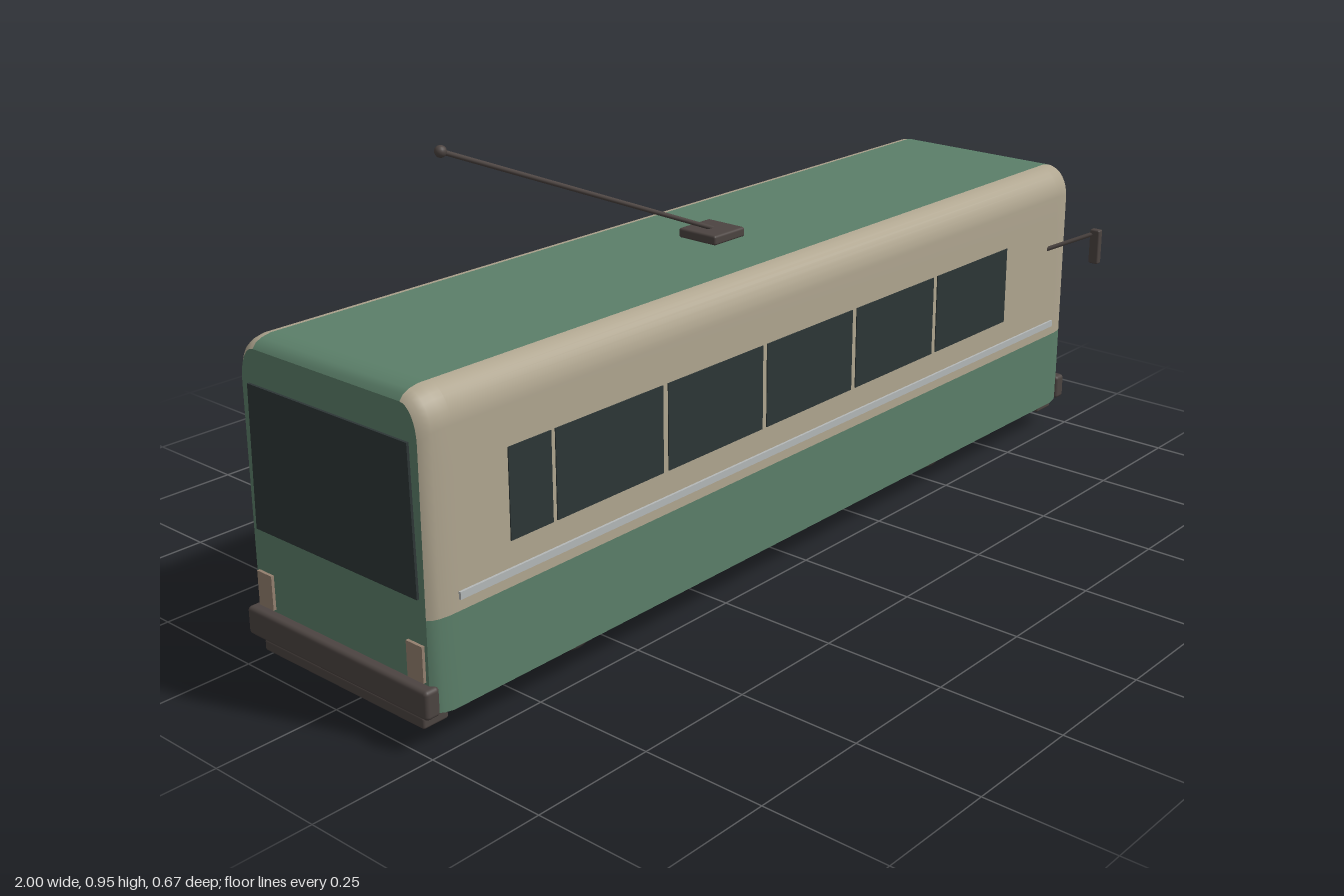
import * as THREE from 'three';
import { RoundedBoxGeometry } from 'three/addons/geometries/RoundedBoxGeometry.js';

const mat = (name, color) => Object.assign(new THREE.MeshStandardMaterial({ color }), { name });

export function createModel() {
  const green = mat('green paint', 0x5b7f69);
  const cream = mat('cream paint', 0xb0a690);
  const glass = mat('dark glass', 0x2d3636);
  const dark = mat('dark metal', 0x4c4441);
  const under = mat('underside', 0x35302e);
  const tyreMat = mat('tyre', 0x383433);
  const silver = mat('silver trim', 0xb4b8b8);
  const white = mat('plate white', 0xd0d0d0);
  const lamp = mat('tail lamp', 0x94806f);

  const model = new THREE.Group();
  model.name = 'trolleybus';
  const add = (name, geo, material, x = 0, y = 0, z = 0, parent = model) => {
    const m = new THREE.Mesh(geo, material);
    m.name = name;
    m.position.set(x, y, z);
    parent.add(m);
    return m;
  };
  const box = (name, material, x0, x1, y0, y1, z0, z1, r = 0) => add(name,
    r ? new RoundedBoxGeometry(x1 - x0, y1 - y0, z1 - z0, 3, r) : new THREE.BoxGeometry(x1 - x0, y1 - y0, z1 - z0),
    material, (x0 + x1) / 2, (y0 + y1) / 2, (z0 + z1) / 2);
  const rod = (name, a, b, r, material) => {
    const d = b.clone().sub(a);
    const m = add(name, new THREE.CylinderGeometry(r, r, d.length(), 10), material);
    m.position.copy(a).addScaledVector(d, 0.5);
    m.quaternion.setFromUnitVectors(new THREE.Vector3(0, 1, 0), d.normalize());
    return m;
  };

  // Body shell: strips of one cross-section [z, y], shrunk by d at the rounded ends
  const stations = [[-0.98, 0.02], [-0.972, 0.01], [-0.96, 0.004], [-0.94, 0], [-0.92, 0],
    [0.92, 0], [0.94, 0], [0.96, 0.004], [0.972, 0.01], [0.98, 0.02]];
  const section = (d) => {
    const w = 0.242 - d * 0.75, top = 0.635 - d, bottom = 0.065 + d * 0.5;
    const lower = [[w, bottom], [w, 0.24]];
    const upper = [[w, 0.24], [w, 0.5]];
    for (let i = 0; i <= 8; i++) {
      const a = (i / 8) * Math.PI / 2;
      upper.push([0.19 + (w - 0.19) * Math.cos(a), top - 0.065 * (1 - Math.sin(a))]);
    }
    const mirror = (pts) => pts.map(([z, y]) => [-z, y]).reverse();
    return {
      lowerLeft: lower, upperLeft: upper, roof: [[0.19, top], [-0.19, top]],
      upperRight: mirror(upper), lowerRight: mirror(lower), floor: [[-w, bottom], [w, bottom]],
    };
  };
  const strip = (key) => {
    const pos = [], idx = [], n = section(0)[key].length;
    for (const [x, d] of stations) for (const [z, y] of section(d)[key]) pos.push(x, y, z);
    for (let i = 0; i < stations.length - 1; i++) {
      for (let j = 0; j < n - 1; j++) {
        const a = i * n + j, c = a + n;
        idx.push(a, c, a + 1, a + 1, c, c + 1);
      }
    }
    const g = new THREE.BufferGeometry();
    g.setAttribute('position', new THREE.Float32BufferAttribute(pos, 3));
    g.setIndex(idx);
    g.computeVertexNormals();
    return g;
  };
  const paint = { lowerLeft: green, upperLeft: cream, roof: green, upperRight: cream, lowerRight: green, floor: under };
  for (const key in paint) add(key + 'Panel', strip(key), paint[key]);

  // Flat end faces
  const loop = Object.values(section(0.02)).flat();
  const endShape = new THREE.Shape(loop.map(([z, y]) => new THREE.Vector2(z, y)));
  const glassShape = new THREE.Shape([[-0.213, 0.275], [0.213, 0.275], [0.207, 0.55], [-0.207, 0.55]]
    .map((p) => new THREE.Vector2(...p)));
  for (const s of [1, -1]) {
    const end = s > 0 ? 'front' : 'rear';
    add(end + 'Face', new THREE.ShapeGeometry(endShape), green, s * 0.98).rotation.y = s * Math.PI / 2;
    add(end + 'Windscreen', new THREE.ExtrudeGeometry(glassShape, { depth: 0.006, bevelEnabled: false }),
      glass, s * 0.979).rotation.y = s * Math.PI / 2;
    const bumper = box(end + 'Bumper', dark, -0.016, 0.016, 0.065, 0.12, -0.241, 0.241, 0.008);
    bumper.position.x = s * 0.984;
    const step = box(end + 'LowerBumper', dark, -0.028, 0.028, 0.035, 0.058, -0.215, 0.215, 0.005);
    step.position.x = s * 0.958;
    for (const z of [-0.15, 0.15]) box(end + 'BumperBracket', dark, s * 0.958 - 0.012, s * 0.958 + 0.012, 0.05, 0.08, z - 0.03, z + 0.03);
  }
  box('numberPlate', white, 0.978, 0.986, 0.122, 0.162, -0.024, 0.024);
  for (const z of [-0.2, 0.2]) box('tailLamp', lamp, -0.986, -0.978, 0.125, 0.192, z - 0.02, z + 0.02);

  // Side windows, trim and mirrors
  const panes = [[-0.8, -0.7], [-0.69, -0.418], [-0.404, -0.135], [-0.122, 0.148], [0.162, 0.432], [0.446, 0.715]];
  for (const s of [1, -1]) {
    const side = s > 0 ? 'left' : 'right';
    for (const [a, b] of panes) box(side + 'Window', glass, a, b, 0.325, 0.495, s * 0.242 - 0.002, s * 0.242 + 0.002);
    box(side + 'TrimStrip', silver, -0.92, 0.92, 0.262, 0.276, s * 0.243 - 0.004, s * 0.243 + 0.004);
    rod(side + 'MirrorArm', new THREE.Vector3(0.89, 0.453, s * 0.238), new THREE.Vector3(0.963, 0.49, s * 0.318), 0.005, dark);
    box(side + 'Mirror', dark, 0.956, 0.973, 0.42, 0.5, s * 0.322 - 0.012, s * 0.322 + 0.012, 0.004);
  }

  // Wheels and axles
  const tyreProfile = [[0.04, -0.012], [0.056, -0.013], [0.063, -0.008], [0.065, 0], [0.063, 0.008], [0.056, 0.013], [0.04, 0.012]]
    .map((p) => new THREE.Vector2(...p));
  const tyre = new THREE.LatheGeometry(tyreProfile, 32);
  const rim = new THREE.CylinderGeometry(0.041, 0.041, 0.018, 24);
  const hub = new THREE.CylinderGeometry(0.014, 0.014, 0.028, 12);
  for (const x of [-0.57, 0.565]) {
    for (const z of [-0.157, 0.157]) {
      const wheel = new THREE.Group();
      wheel.name = 'wheel';
      wheel.position.set(x, 0.065, z);
      wheel.rotation.x = Math.PI / 2;
      add('tyre', tyre, tyreMat, 0, 0, 0, wheel);
      add('rim', rim, silver, 0, 0, 0, wheel);
      add('hub', hub, dark, 0, 0, 0, wheel);
      model.add(wheel);
    }
    rod('axle', new THREE.Vector3(x, 0.065, -0.15), new THREE.Vector3(x, 0.065, 0.15), 0.008, dark);
  }

  // Roof pole
  box('poleBase', dark, -0.048, 0.045, 0.634, 0.654, -0.048, 0.048, 0.005);
  const tip = new THREE.Vector3(-0.705, 0.94, 0);
  rod('pole', new THREE.Vector3(0, 0.652, 0), tip, 0.0048, dark);
  add('poleTip', new THREE.SphereGeometry(0.011, 16, 12), dark, tip.x, tip.y, tip.z);

  return model;
}
